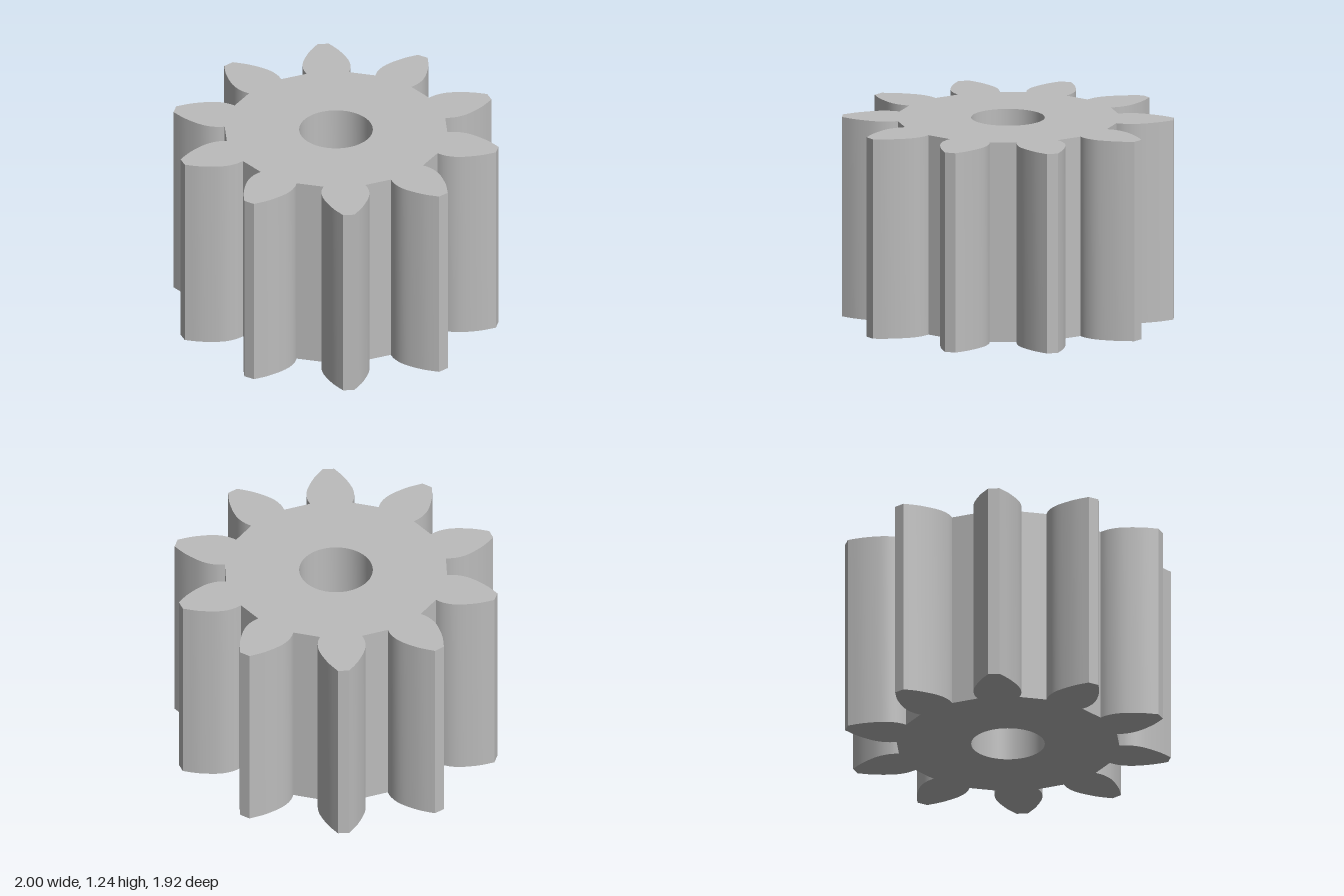
import * as THREE from 'three';
import { toCreasedNormals } from 'three/addons/utils/BufferGeometryUtils.js';

const TEETH = 10;
const HEIGHT = 1.235;
const BORE = 0.222;

// One tooth pointing along +x: curved flanks, flat tip
function toothOutline() {
  const flank = new THREE.SplineCurve([
    [0.66, 0.127], [0.70, 0.14], [0.75, 0.144], [0.80, 0.137],
    [0.86, 0.116], [0.93, 0.082], [1.0, 0.034],
  ].map(([x, y]) => new THREE.Vector2(x, y))).getPoints(18);
  const lower = flank.map((p) => new THREE.Vector2(p.x, -p.y));
  return [...lower, ...flank.reverse()];
}

export function createModel() {
  const group = new THREE.Group();
  group.name = 'spurGear';
  const steel = new THREE.MeshStandardMaterial({ color: 0xbcbcbc });
  steel.name = 'grey steel';

  // Repeat the tooth around the hub; straight root floors join them
  const tooth = toothOutline();
  const centre = new THREE.Vector2();
  const outline = [];
  for (let i = 0; i < TEETH; i++) {
    const angle = (i / TEETH) * Math.PI * 2;
    outline.push(...tooth.map((p) => p.clone().rotateAround(centre, angle)));
  }
  const shape = new THREE.Shape(outline);

  // Round shaft bore
  const bore = new THREE.Path();
  bore.absarc(0, 0, BORE, 0, Math.PI * 2, true);
  shape.holes.push(bore);

  // Extrude upward, smooth the flanks and bore, keep the edges crisp
  const body = new THREE.ExtrudeGeometry(shape, {
    depth: HEIGHT, bevelEnabled: false, curveSegments: 48,
  });
  body.rotateX(-Math.PI / 2);
  const gear = new THREE.Mesh(toCreasedNormals(body, Math.PI / 9), steel);
  gear.name = 'gearBody';
  group.add(gear);

  return group;
}
